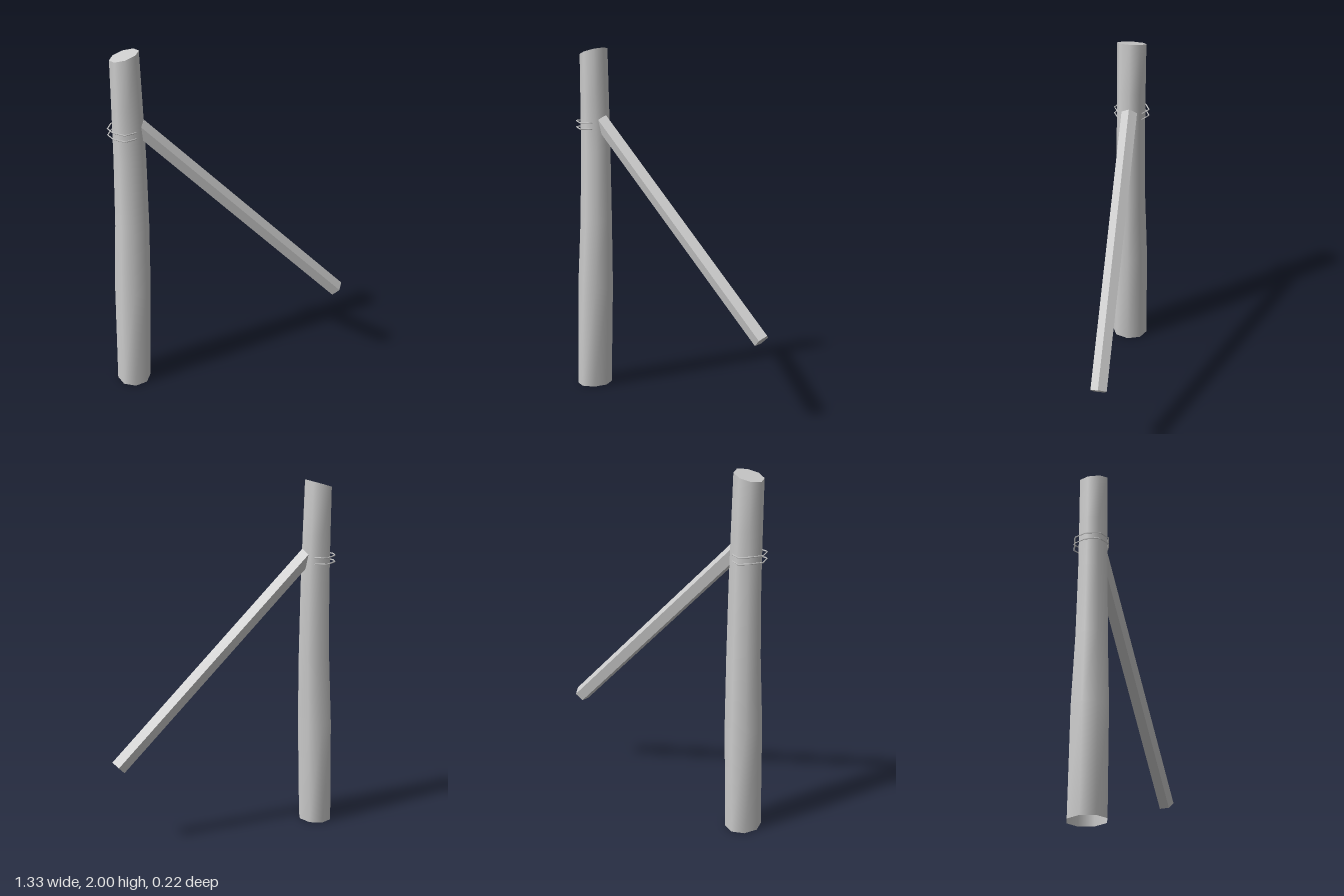
import * as THREE from 'three';
import { mergeVertices } from 'three/addons/utils/BufferGeometryUtils.js';

const V = (x, y, z) => new THREE.Vector3(x, y, z);

// Post sections: height, centre x, radius in x, radius in z
const SECTIONS = [
  [0, -0.575, 0.095, 0.108],
  [0.6, -0.561, 0.101, 0.105],
  [1.0, -0.55, 0.094, 0.09],
  [1.4, -0.548, 0.088, 0.083],
  [1.7, -0.552, 0.083, 0.082],
  [1.98, -0.557, 0.078, 0.082],
];
const slantedTop = (x) => 1.955 + (x + 0.635) * 0.29;

function postShell() {
  const rows = SECTIONS.length - 1;
  const geo = new THREE.CylinderGeometry(1, 1, 1, 8, rows, true);
  const p = geo.attributes.position;
  for (let i = 0; i < p.count; i++) {
    const row = Math.round((p.getY(i) + 0.5) * rows);
    const [y, cx, rx, rz] = SECTIONS[row];
    const x = cx + p.getX(i) * rx;
    p.setXYZ(i, x, row === rows ? slantedTop(x) : y, p.getZ(i) * rz);
  }
  // Weld the seam for smooth shading all round
  geo.deleteAttribute('uv');
  geo.deleteAttribute('normal');
  const welded = mergeVertices(geo, 1e-5);
  welded.computeVertexNormals();
  return welded;
}

function postCap() {
  const [, cx, rx, rz] = SECTIONS[SECTIONS.length - 1];
  const geo = new THREE.CircleGeometry(1, 8).rotateX(-Math.PI / 2);
  const p = geo.attributes.position;
  for (let i = 0; i < p.count; i++) {
    const x = cx + p.getX(i) * rx;
    p.setXYZ(i, x, slantedTop(x), p.getZ(i) * rz);
  }
  geo.computeVertexNormals();
  return geo;
}

// Five-sided bar between two points, one ridge facing up
function braceBar(a, b, r) {
  const dir = b.clone().sub(a);
  const geo = new THREE.CylinderGeometry(r, r, dir.length(), 5).toNonIndexed();
  const along = dir.clone().normalize();
  const up = V(0, 1, 0).addScaledVector(along, -along.y).normalize();
  const side = V(0, 0, 0).crossVectors(along, up);
  // Local z (first corner) becomes the ridge direction
  geo.applyMatrix4(new THREE.Matrix4().makeBasis(side.negate(), along.negate(), up));
  const mid = a.clone().add(b).multiplyScalar(0.5);
  geo.translate(mid.x, mid.y, mid.z);
  geo.computeVertexNormals();
  return geo;
}

// Eight-sided wire loop, slightly tilted
function wireLoop(y) {
  const path = new THREE.CurvePath();
  const corner = (i) => {
    const t = (i / 8) * Math.PI * 2;
    const c = Math.cos(t);
    return V(-0.575 + 0.085 * c, y - 0.005 * c + (i % 2 ? 0.002 : -0.002), 0.1 * Math.sin(t));
  };
  for (let i = 0; i < 8; i++) path.add(new THREE.LineCurve3(corner(i), corner((i + 1) % 8)));
  return new THREE.TubeGeometry(path, 32, 0.004, 4, false);
}

export function createModel() {
  const grey = new THREE.MeshStandardMaterial({ color: 0xcccccc, side: THREE.DoubleSide });
  grey.name = 'paleGrey';
  const group = new THREE.Group();
  group.name = 'bracedPost';
  const add = (name, geo) => {
    const mesh = new THREE.Mesh(geo, grey);
    mesh.name = name;
    group.add(mesh);
  };

  add('post', postShell());
  add('postTop', postCap());
  add('brace', braceBar(V(-0.498, 1.582, 0), V(0.632, 0.467, -0.026), 0.047));
  add('upperWire', wireLoop(1.574));
  add('lowerWire', wireLoop(1.538));
  return group;
}
